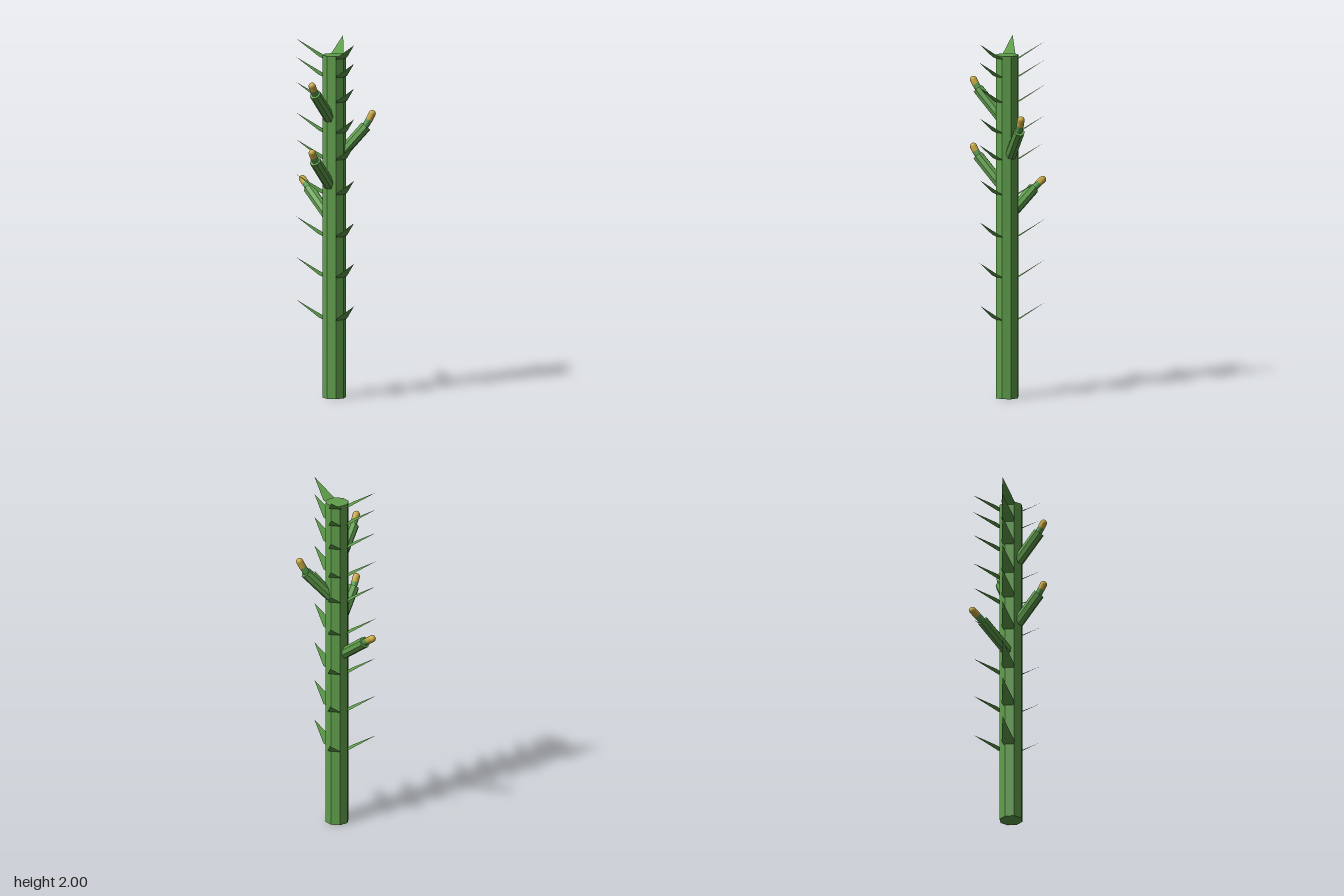
import * as THREE from 'three';

const green = new THREE.MeshStandardMaterial({ color: 0x5f9e4b, flatShading: true });
const leafGreen = new THREE.MeshStandardMaterial({ color: 0x5f9e4b, flatShading: true, side: THREE.DoubleSide });
const budGreen = new THREE.MeshStandardMaterial({ color: 0x569c50 });
const gold = new THREE.MeshStandardMaterial({ color: 0xc9a843 });
const UP = new THREE.Vector3(0, 1, 0);
const CX = 0.013, CZ = 0.052; // stem axis

function add(parent, name, geometry, material) {
  const mesh = new THREE.Mesh(geometry, material);
  mesh.name = name;
  parent.add(mesh);
  return mesh;
}

// Place a y-aligned mesh so that it runs from a to b
function span(mesh, a, b) {
  mesh.position.copy(a).lerp(b, 0.5);
  mesh.quaternion.setFromUnitVectors(UP, b.clone().sub(a).normalize());
  return mesh;
}

// Faceted shoot from a to b, then a smooth bud bending to c with a golden tip
function makeBranch(a, b, c) {
  const group = new THREE.Group();
  group.name = 'branch';
  [a, b, c] = [a, b, c].map((p) => new THREE.Vector3(...p));
  span(add(group, 'branchShoot', new THREE.CylinderGeometry(0.032, 0.032, a.distanceTo(b), 8), green), a, b);

  const root = b.clone().lerp(a, 0.08);
  const middle = b.clone().lerp(c, 0.55);
  span(add(group, 'budStalk', new THREE.CylinderGeometry(0.0195, 0.019, root.distanceTo(middle), 16), budGreen), root, middle);
  span(add(group, 'budTip', new THREE.CapsuleGeometry(0.02, middle.distanceTo(c), 6, 16), gold), middle, c);
  return group;
}

// Flat pointed leaf growing along +x: narrow foot, wide shoulder, raised tip
function makeLeafGeometry(length) {
  const geometry = new THREE.BufferGeometry();
  geometry.setAttribute('position', new THREE.Float32BufferAttribute([
    0.055, 0, 0.025,
    0.055, 0, -0.025,
    0.078, 0.013, -0.036,
    length, 0.1, 0,
    0.078, 0.013, 0.036,
  ], 3));
  geometry.setIndex([0, 4, 1, 4, 2, 1, 4, 3, 2]);
  geometry.computeVertexNormals();
  return geometry;
}

export function createModel() {
  const model = new THREE.Group();
  model.name = 'plant';

  // Eight-sided stem with a corner on each axis
  add(model, 'stem', new THREE.CylinderGeometry(0.066, 0.066, 1.92, 8), green).position.set(CX, 0.96, CZ);

  // Whorls of three leaves, closer together towards the top
  const heights = [0.437, 0.675, 0.903, 1.14, 1.335, 1.485, 1.657, 1.797, 1.9];
  const leaves = [
    { angle: 112, length: 0.209 },
    { angle: 253, length: 0.222 },
    { angle: -22, length: 0.212 },
  ].map(({ angle, length }) => ({ angle: THREE.MathUtils.degToRad(angle), geometry: makeLeafGeometry(length) }));
  heights.forEach((y, level) => {
    const whorl = new THREE.Group();
    whorl.name = 'leafWhorl';
    whorl.position.set(CX, y, CZ);
    leaves.forEach(({ angle, geometry }, i) => {
      const leaf = add(whorl, 'leaf', geometry, leafGreen);
      leaf.rotation.y = -angle;
      if (i === 2) leaf.position.z = 0.006 - 0.001 * level;
    });
    model.add(whorl);
  });

  // Two matching right branches, one at the back and one at the front left
  for (const y of [1.175, 1.55]) {
    model.add(makeBranch([-0.01, y, CZ], [-0.165, y + 0.17, CZ], [-0.193, y + 0.22, CZ]));
  }
  model.add(makeBranch([0.008, 1.01, 0.02], [0.072, 1.145, -0.164], [0.1, 1.19, -0.228]));
  model.add(makeBranch([0.03, 1.34, 0.062], [0.144, 1.515, 0.175], [0.167, 1.585, 0.201]));

  return model;
}
